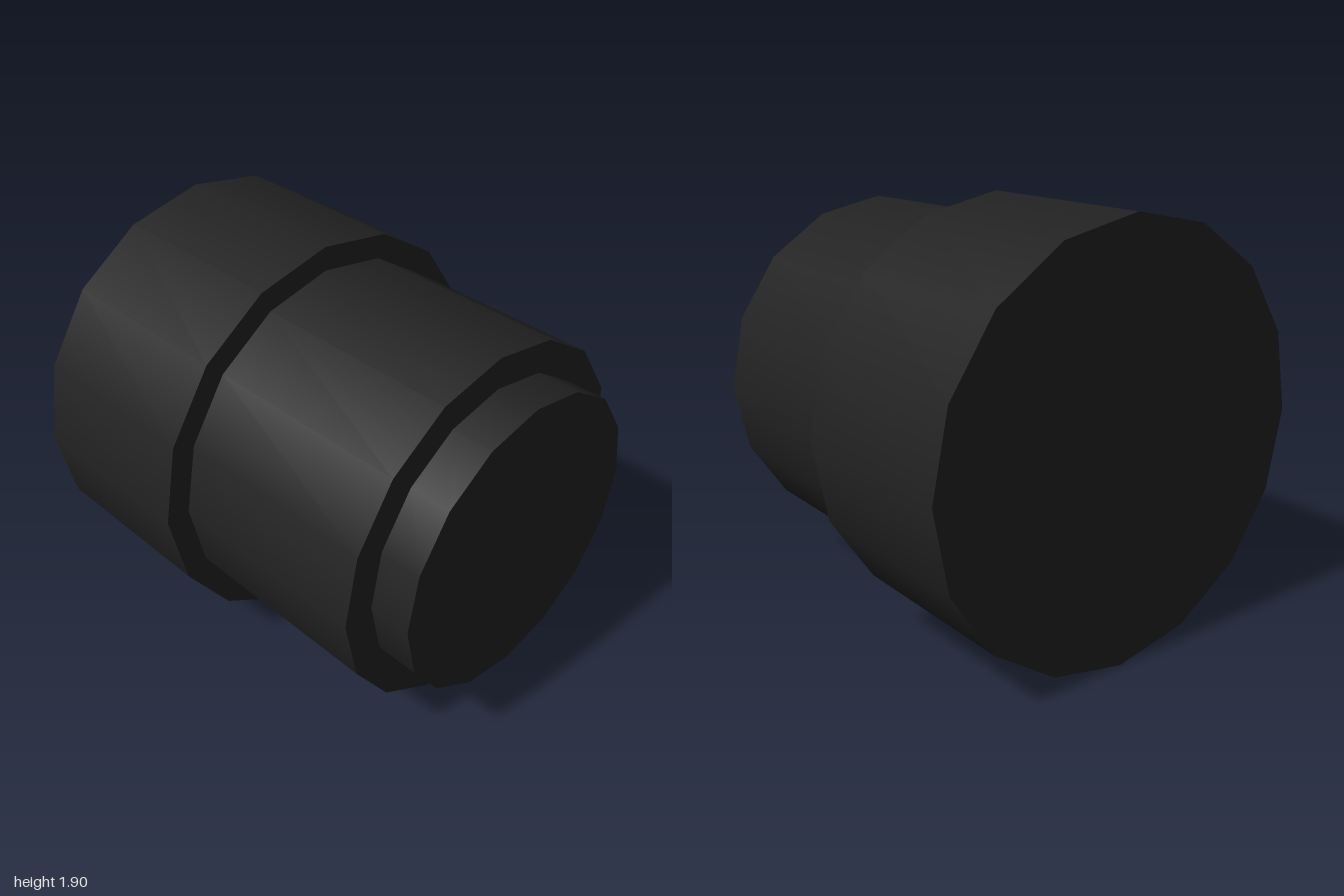
import * as THREE from 'three';

export function createModel() {
  const model = new THREE.Group();
  model.name = 'steppedCylinder';
  const black = new THREE.MeshStandardMaterial({ color: 0x222222 });
  black.name = 'matte black';

  // Three stepped sections along x: [name, radius, start, end]
  const sections = [
    ['wideCollar', 0.949, -1, -0.14],
    ['mainBarrel', 0.837, -0.14, 0.81],
    ['endCap', 0.694, 0.81, 1],
  ];
  for (const [name, radius, x0, x1] of sections) {
    const geometry = new THREE.CylinderGeometry(radius, radius, x1 - x0, 16);
    geometry.rotateZ(-Math.PI / 2);
    const mesh = new THREE.Mesh(geometry, black);
    mesh.name = name;
    mesh.position.set((x0 + x1) / 2, 0.949, 0);
    model.add(mesh);
  }
  return model;
}
